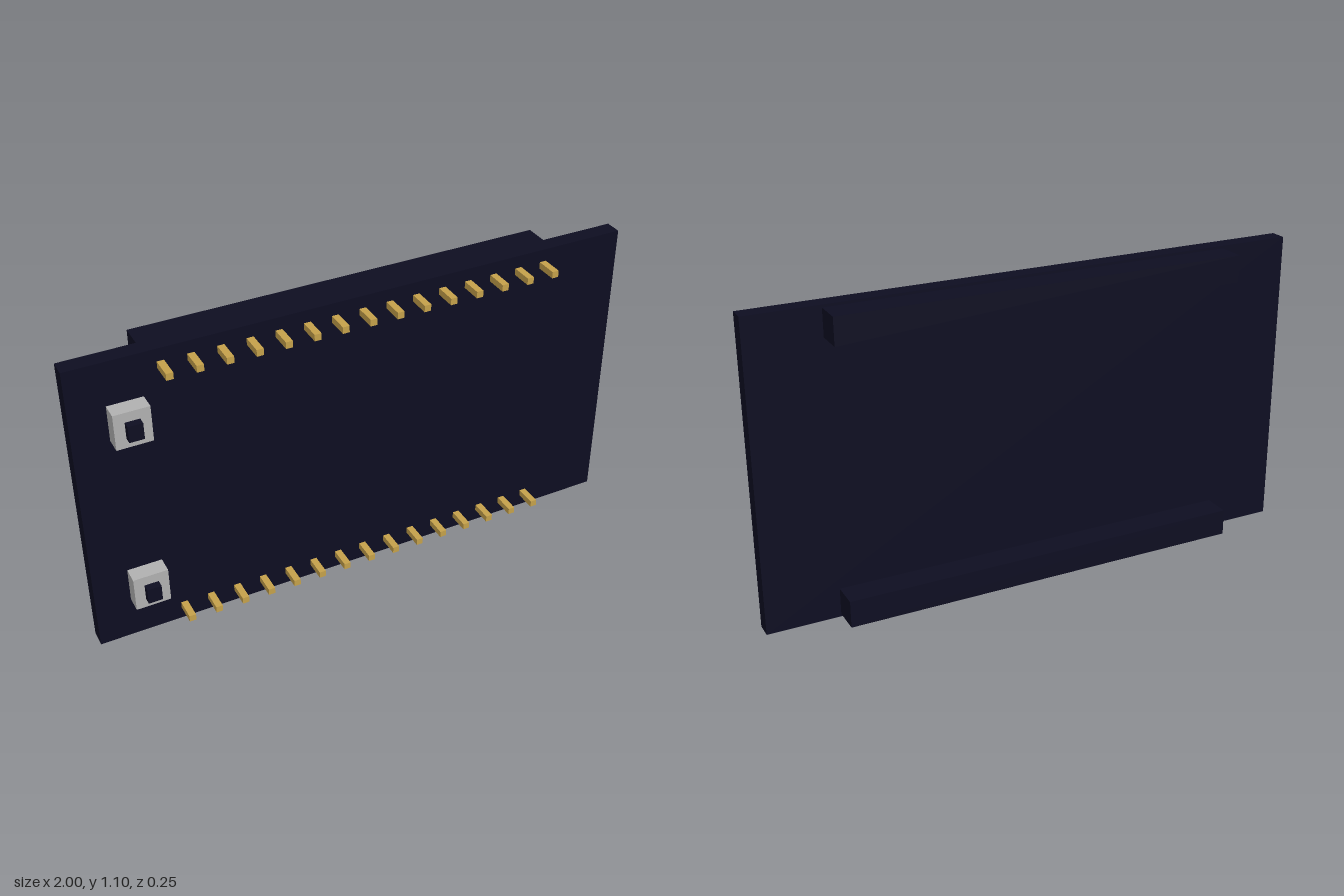
import * as THREE from 'three';

const material = (name, color) => {
  const m = new THREE.MeshStandardMaterial({ color });
  m.name = name;
  return m;
};

export function createModel() {
  const model = new THREE.Group();
  model.name = 'circuitBoard';
  const navy = material('dark navy', 0x0d0d21);
  const gold = material('pin gold', 0xc4a04a);
  const silver = material('button silver', 0xb0b0b0);

  // Box spanning z0 to z1, centred on x and y
  const box = (name, mat, w, h, x, y, z0, z1) => {
    const mesh = new THREE.Mesh(new THREE.BoxGeometry(w, h, z1 - z0), mat);
    mesh.name = name;
    mesh.position.set(x, y, (z0 + z1) / 2);
    model.add(mesh);
  };

  const front = 0.037, back = -0.023;
  const midY = 0.551;
  box('board', navy, 2, 1.102, 0, midY, back, front);

  for (const [side, s] of [['lower', -1], ['upper', 1]]) {
    // Socket strip on the back
    box(`${side}Header`, navy, 1.48, 0.097, 0, midY + s * 0.493, -0.123, back);

    // Row of solder pins on the front
    for (let i = 0; i < 15; i++) {
      box(`${side}Pin${i + 1}`, gold, 0.024, 0.024, (i - 7) * 0.0988, midY + s * 0.494, front, 0.116);
    }

    // Push button with its plunger
    const buttonY = midY + s * 0.33;
    box(`${side}ButtonBody`, silver, 0.122, 0.129, -0.816, buttonY, front, 0.096);
    box(`${side}ButtonPlunger`, navy, 0.05, 0.059, -0.816, buttonY, 0.096, 0.123);
  }
  return model;
}
